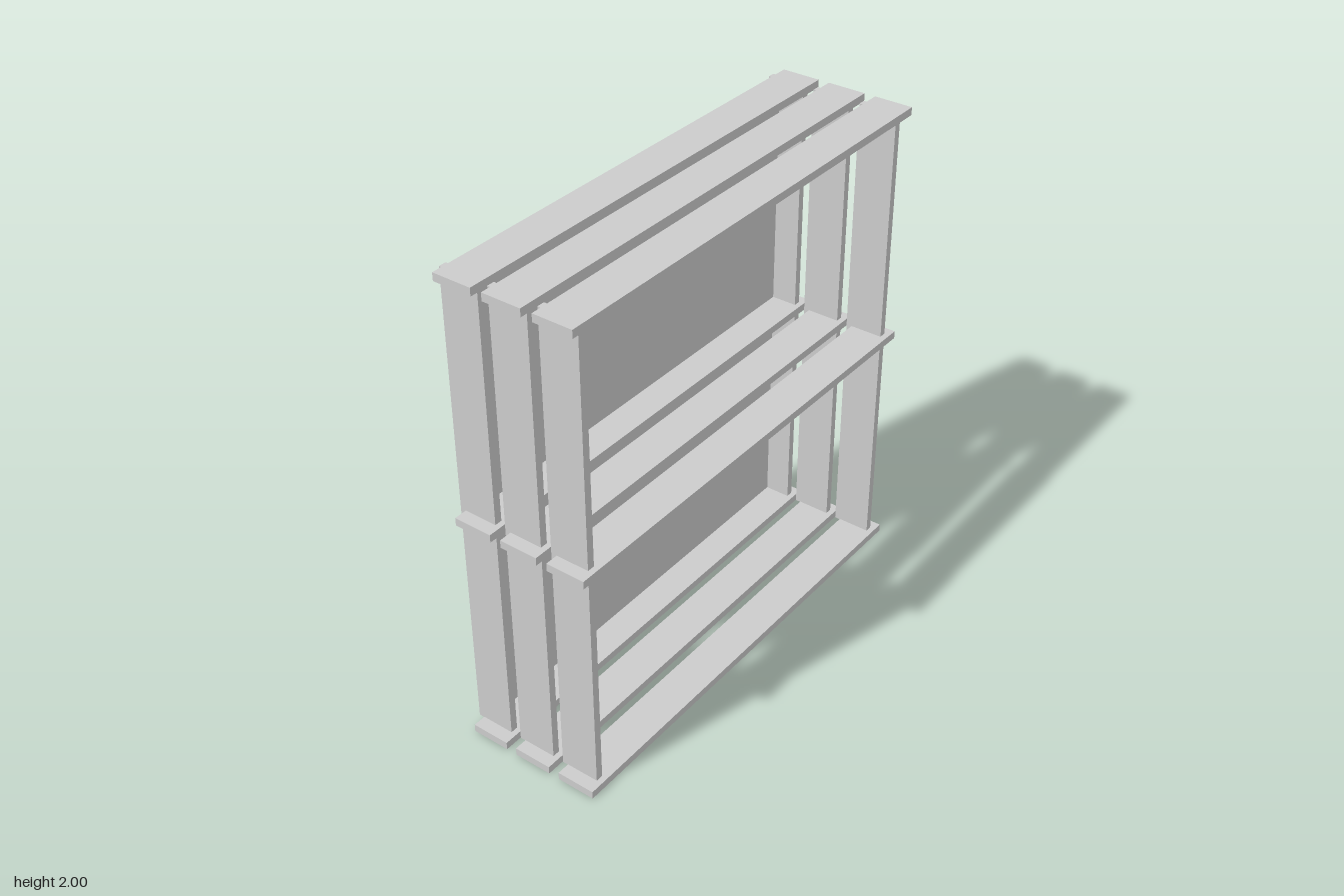
import * as THREE from 'three';

const material = new THREE.MeshStandardMaterial({ color: 0xcccccc });

// Box given by its min and max on each axis
function slab(name, [x0, x1], [y0, y1], [z0, z1]) {
  const geometry = new THREE.BoxGeometry(x1 - x0, y1 - y0, z1 - z0);
  const mesh = new THREE.Mesh(geometry, material);
  mesh.name = name;
  mesh.position.set((x0 + x1) / 2, (y0 + y1) / 2, (z0 + z1) / 2);
  return mesh;
}

export function createModel() {
  const model = new THREE.Group();
  model.name = 'slattedShelf';

  const width = 0.161, thick = 0.032;
  const shelfHeights = [0, 0.988, 2 - thick];
  const postSpans = [[-0.943, -0.913], [0.898, 0.929]];

  // Three parallel frames, each with two uprights and three shelf slats
  for (let i = 0; i < 3; i++) {
    const frame = new THREE.Group();
    frame.name = `frame${i + 1}`;
    const postX = -0.302 + i * 0.207;
    const slatX = -0.279 + i * 0.2075;
    for (const z of postSpans) {
      frame.add(slab('upright', [postX, postX + width], [0.03, 1.99], z));
    }
    for (const y of shelfHeights) {
      frame.add(slab('shelfSlat', [slatX, slatX + width], [y, y + thick], [-0.983, 0.983]));
    }
    model.add(frame);
  }

  // Thin panel closing one side, set between the uprights
  model.add(slab('backPanel', [-0.262, -0.25], [0.02, 1.98], [-0.92, 0.905]));
  return model;
}
